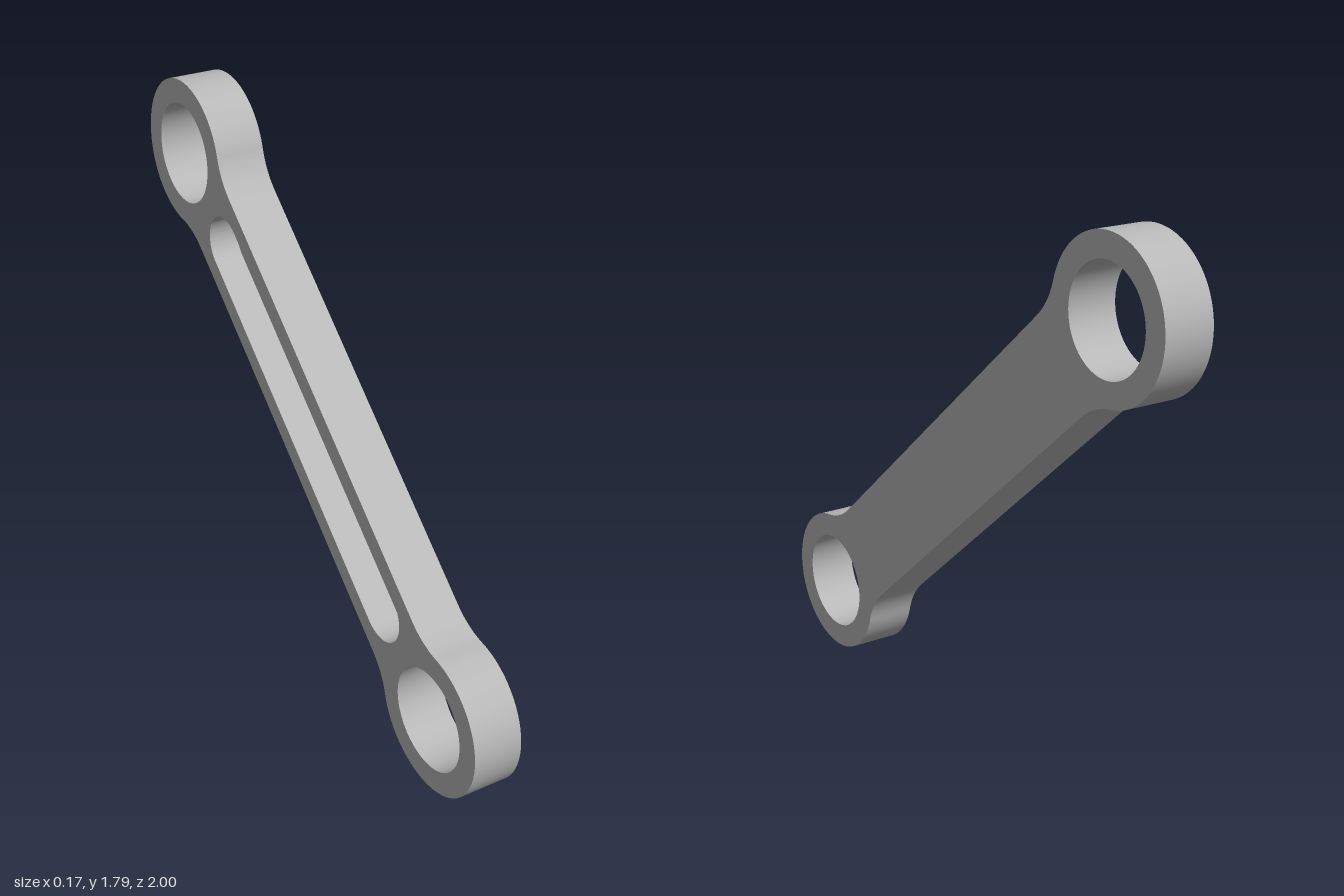
import * as THREE from 'three';
import { toCreasedNormals } from 'three/addons/utils/BufferGeometryUtils.js';

const C = 0.997;        // half distance between the ring centres
const R = 0.246;        // ring outer radius
const BORE = 0.167;     // ring hole radius
const H = 0.163;        // half width of the bar
const FILLET = 0.245;   // blend between bar and rings
const T = 0.165;        // thickness
const DEPTH = 0.1;      // pocket depth
const SLOT = 0.64;      // half length of the pocket's straight part
const SLOT_R = 0.102;   // pocket end radius
const SEG = 32;

// Two rings joined by a bar, with tangent fillets
function linkOutline() {
  const y = H + FILLET;
  const x = C - Math.sqrt((R + FILLET) ** 2 - y ** 2);
  const phi = Math.PI - Math.asin(y / (R + FILLET));
  const q = Math.PI / 2;
  const s = new THREE.Shape();
  s.absarc(C, 0, R, -phi, phi, false);
  s.absarc(x, y, FILLET, phi - Math.PI, -q, true);
  s.absarc(-x, y, FILLET, -q, -phi, true);
  s.absarc(-C, 0, R, Math.PI - phi, Math.PI + phi, false);
  s.absarc(-x, -y, FILLET, phi, q, true);
  s.absarc(x, -y, FILLET, q, Math.PI - phi, true);
  s.closePath();
  return s;
}

// Round-ended pocket outline
function slot(path) {
  const q = Math.PI / 2;
  path.absarc(SLOT, 0, SLOT_R, -q, q, false);
  path.absarc(-SLOT, 0, SLOT_R, q, 3 * q, false);
  path.closePath();
  return path;
}

export function createModel() {
  const metal = new THREE.MeshStandardMaterial({ color: 0xb8b8b8 });
  metal.name = 'grey metal';

  const group = new THREE.Group();
  group.name = 'linkArm';
  const arm = new THREE.Group();
  arm.name = 'tiltedArm';
  arm.rotation.set(0, Math.PI / 2, Math.atan2(1.303, 1.51));
  arm.position.y = 0.898;
  group.add(arm);

  const add = (name, geometry, z) => {
    const mesh = new THREE.Mesh(geometry, metal);
    mesh.name = name;
    mesh.position.z = z;
    arm.add(mesh);
  };

  // Body with both bores and the pocket walls
  const outline = linkOutline();
  for (const x of [-C, C]) {
    outline.holes.push(new THREE.Path().absarc(x, 0, BORE, 0, Math.PI * 2, false));
  }
  outline.holes.push(slot(new THREE.Path()));
  const body = new THREE.ExtrudeGeometry(outline, { depth: T, bevelEnabled: false, curveSegments: SEG });
  add('linkBody', toCreasedNormals(body, 0.5), -T / 2);

  // Web closing the pocket: plain outer face and recessed floor
  const web = new THREE.ShapeGeometry(slot(new THREE.Shape()), SEG);
  add('webOuterFace', web, T / 2);
  add('pocketFloor', web.clone().rotateY(Math.PI), -T / 2 + DEPTH);

  return group;
}
